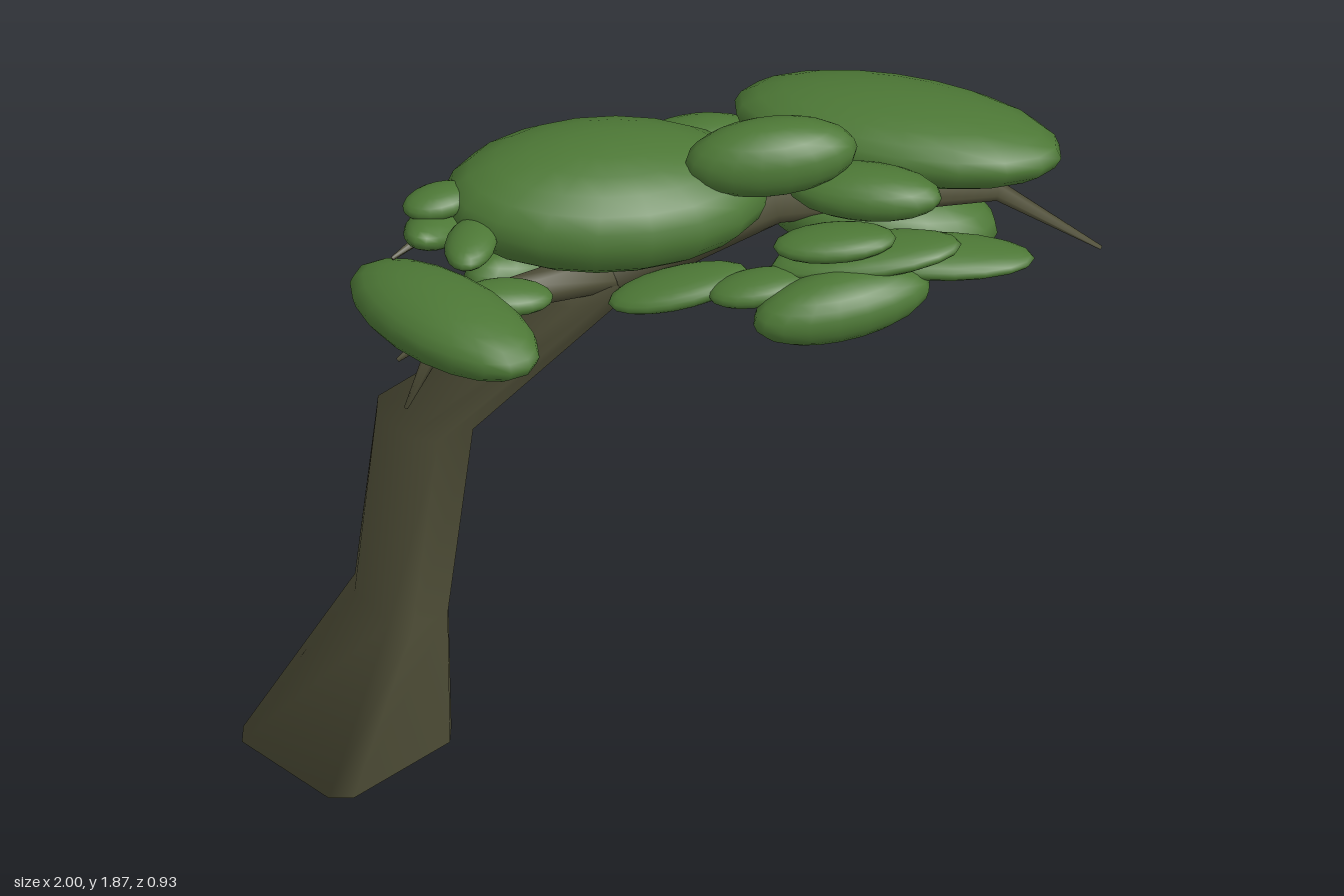
import * as THREE from 'three';

const bark = new THREE.MeshStandardMaterial({ color: 0x504f38 });
bark.name = 'bark';
const foliage = new THREE.MeshStandardMaterial({ color: 0x4d7836 });
foliage.name = 'foliage';

// Skins a list of equal rings, capped at both ends, with smooth normals throughout
function loft(rings, name) {
  const n = rings[0].length;
  const top = (rings.length - 1) * n;
  const index = [];
  for (let r = 0; r < top; r += n) {
    for (let i = 0; i < n; i++) {
      const a = r + i, b = r + (i + 1) % n, c = a + n, d = b + n;
      index.push(a, c, b, b, c, d);
    }
  }
  for (let i = 1; i < n - 1; i++) {
    index.push(0, i, i + 1, top, top + i + 1, top + i);
  }
  const geometry = new THREE.BufferGeometry().setFromPoints(rings.flat());
  geometry.setIndex(index);
  geometry.computeVertexNormals();
  const mesh = new THREE.Mesh(geometry, bark);
  mesh.name = name;
  return mesh;
}

// Ring of a square trunk with cut corners; slope tilts it along x
function trunkRing(x, y, z, rx, rz, slope, cut) {
  return Array.from({ length: 8 }, (_, k) => {
    const t = Math.floor(k / 2) * Math.PI / 2 + 0.2 + (k % 2 ? cut : -cut);
    const dx = Math.cos(t) * rx;
    return new THREE.Vector3(x + dx, y + dx * slope, z + Math.sin(t) * rz);
  });
}

// Six-sided branch tapering evenly from its base radius to a thin tip
function branch(name, radius, ...path) {
  const v = path.map((p) => new THREE.Vector3(...p));
  const last = v.length - 1;
  return loft(v.map((p, i) => {
    const t = v[Math.min(i + 1, last)].clone().sub(v[Math.max(i - 1, 0)]).normalize();
    const u = new THREE.Vector3(0, 0, 1).addScaledVector(t, -t.z).normalize();
    const w = u.clone().cross(t);
    const r = THREE.MathUtils.lerp(radius, 0.005, i / last);
    return Array.from({ length: 6 }, (_, k) => p.clone()
      .addScaledVector(u, Math.cos(k * Math.PI / 3) * r)
      .addScaledVector(w, Math.sin(k * Math.PI / 3) * r));
  }), name);
}

// Ellipsoid of leaves; those at the back of the crown droop backwards
const ball = new THREE.SphereGeometry(1, 18, 12);
function leafClump(name, x, y, z, rx, ry, rz, yaw, roll) {
  const clump = new THREE.Mesh(ball, foliage);
  clump.name = name;
  clump.position.set(x, y, z);
  clump.scale.set(rx, ry, rz);
  const [a, b, c] = [z < -0.1 ? -9 : 0, yaw, roll].map(THREE.MathUtils.degToRad);
  clump.rotation.set(a, b, c, 'YXZ');
  return clump;
}

export function createModel() {
  const tree = new THREE.Group();
  tree.name = 'tree';

  // Leaning trunk, flared at the foot
  tree.add(loft([
    trunkRing(-0.752, 0.013, -0.19, 0.246, 0.253, 0.045, 0.12),
    trunkRing(-0.63, 0.45, -0.137, 0.112, 0.148, -0.2, 0.25),
    trunkRing(-0.573, 0.97, -0.135, 0.119, 0.12, -0.17, 0.3),
    trunkRing(-0.19, 1.36, -0.03, 0.113, 0.055, 0.18, 0.35),
    trunkRing(-0.17, 1.45, -0.02, 0.17, 0.045, 0.1, 0.35),
  ], 'trunk'));

  // Branches
  const branches = new THREE.Group();
  branches.name = 'branches';
  branches.add(
    branch('lowerRightBranch', 0.055, [-0.15, 1.43, -0.02], [-0.4, 1.43, 0.05], [-0.58, 1.41, 0.13], [-0.68, 1.34, 0.15]),
    branch('hangingTwig', 0.035, [-0.52, 1.42, 0.1], [-0.6, 1.37, 0.17], [-0.66, 1.2, 0.15]),
    branch('upperRightBranch', 0.04, [-0.15, 1.45, -0.02], [-0.42, 1.53, -0.06], [-0.58, 1.6, 0], [-0.68, 1.57, 0.06]),
    branch('leftBranch', 0.065, [-0.15, 1.42, -0.02], [0.25, 1.53, -0.08], [0.76, 1.59, 0.02], [1, 1.42, 0.05]),
  );
  tree.add(branches);

  const crown = new THREE.Group();
  crown.name = 'crown';
  tree.add(crown);

  // Large clumps: centre, radii, yaw, roll
  [
    [-0.165, 1.66, 0, 0.39, 0.153, 0.232, 3, -4],
    [0.545, 1.68, -0.13, 0.4, 0.102, 0.195, -25, 0],
    [-0.17, 1.44, -0.28, 0.35, 0.07, 0.17, 18, -8],
    [-0.34, 1.335, -0.16, 0.165, 0.08, 0.08, 30, -15],
    [0.5, 1.46, -0.11, 0.28, 0.112, 0.165, -16, -6],
    [0.08, 1.565, -0.26, 0.185, 0.092, 0.1, -5, 8],
    [0.217, 1.775, 0.06, 0.205, 0.094, 0.096, 0, 2],
    [0.433, 1.68, 0.1, 0.185, 0.062, 0.085, -20, 2],
    [0.36, 1.455, 0.23, 0.22, 0.083, 0.095, 12, 2],
    [-0.58, 1.505, 0.23, 0.28, 0.085, 0.138, -52, 0],
    [-0.56, 1.635, 0.03, 0.16, 0.045, 0.07, 58, -18],
  ].forEach((c) => crown.add(leafClump('leafClump', ...c)));

  // Thin leaf pads: centre, half length, yaw, roll; width follows the length
  [
    [0.355, 1.575, 0.15, 0.145, -5, 3],
    [0.6, 1.495, 0.13, 0.23, -6, -3],
    [0.43, 1.53, 0.15, 0.225, -5, 6],
    [-0.01, 1.46, 0.12, 0.17, 0, 10],
    [0.17, 1.485, 0.18, 0.12, 0, 6],
    [-0.565, 1.705, 0.03, 0.09, 15, 3],
    [-0.51, 1.675, 0.17, 0.1, 70, 0],
    [-0.42, 1.49, 0.14, 0.11, 0, -5],
  ].forEach(([x, y, z, length, yaw, roll]) => {
    crown.add(leafClump('leafPad', x, y, z, length, 0.035, 0.04 + length * 0.2, yaw, roll));
  });
  return tree;
}
